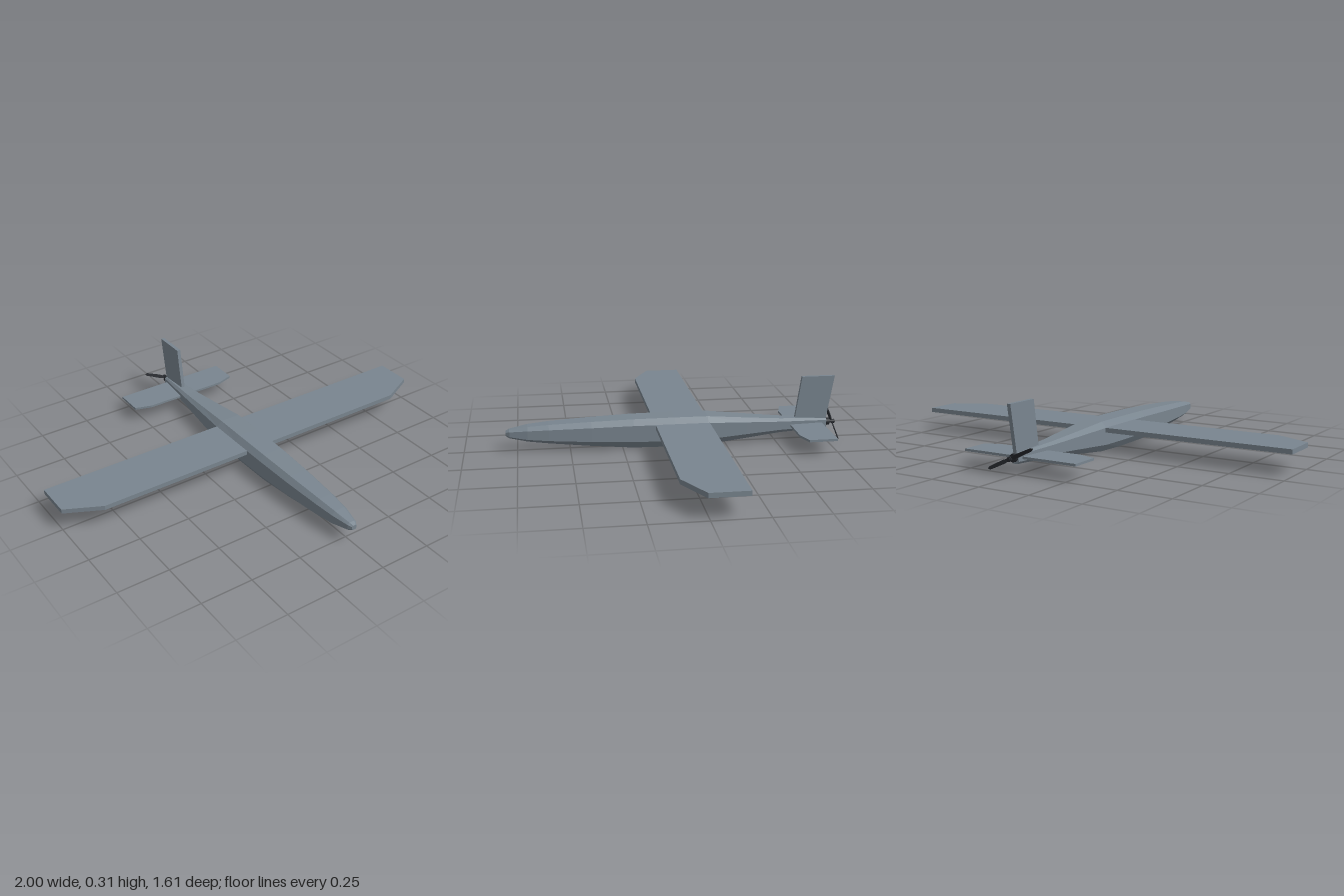
import * as THREE from 'three';

const mat = (name, color) => {
  const m = new THREE.MeshStandardMaterial({ color });
  m.name = name;
  return m;
};

// Faceted hull lofted through octagonal sections, listed from nose to tail
function loft(sections) {
  const rings = sections.map(([z, w, wf, top, up, low, bottom]) => [
    [w, low, z], [w, up, z], [wf, top, z], [-wf, top, z],
    [-w, up, z], [-w, low, z], [-wf, bottom, z], [wf, bottom, z],
  ]);
  const pos = [];
  const tri = (...pts) => pts.forEach((p) => pos.push(...p));
  for (let i = 0; i < rings.length - 1; i++) {
    for (let j = 0; j < 8; j++) {
      const k = (j + 1) % 8;
      const [a, b, c, d] = [rings[i][j], rings[i][k], rings[i + 1][j], rings[i + 1][k]];
      tri(a, c, b);
      tri(b, c, d);
    }
  }
  const first = rings[0], last = rings[rings.length - 1];
  for (let j = 1; j < 7; j++) {
    tri(first[0], first[j], first[j + 1]);
    tri(last[0], last[j + 1], last[j]);
  }
  const g = new THREE.BufferGeometry();
  g.setAttribute('position', new THREE.Float32BufferAttribute(pos, 3));
  g.computeVertexNormals();
  return g;
}

// Flat plate from an outline, centred through its thickness
function plate(points, thickness) {
  const shape = new THREE.Shape(points.map(([x, y]) => new THREE.Vector2(x, y)));
  return new THREE.ExtrudeGeometry(shape, { depth: thickness, bevelEnabled: false })
    .translate(0, 0, -thickness / 2);
}

// Horizontal surface: half outline in (x, z), mirrored across x = 0
function surface(half, thickness) {
  const mirrored = half.map(([x, z]) => [-x, z]).reverse();
  return plate([...half, ...mirrored].map(([x, z]) => [x, -z]), thickness).rotateX(-Math.PI / 2);
}

export function createModel() {
  const grey = mat('airframe grey', 0x79858f);
  const dark = mat('propeller black', 0x25282d);
  const yellow = mat('marking yellow', 0xd8a520);
  const blue = mat('marking blue', 0x1f4e96);

  const model = new THREE.Group();
  model.name = 'aircraft';
  const add = (name, geometry, material, parent = model) => {
    const m = new THREE.Mesh(geometry, material);
    m.name = name;
    parent.add(m);
    return m;
  };

  // Fuselage: z, half width, half width of flats, top, upper edge, lower edge, bottom
  add('fuselage', loft([
    [0.803, 0.012, 0.007, 0.099, 0.093, 0.081, 0.076],
    [0.785, 0.023, 0.013, 0.107, 0.098, 0.074, 0.066],
    [0.70, 0.042, 0.026, 0.122, 0.105, 0.063, 0.050],
    [0.60, 0.053, 0.034, 0.130, 0.109, 0.056, 0.039],
    [0.40, 0.066, 0.044, 0.139, 0.114, 0.046, 0.020],
    [0.20, 0.073, 0.050, 0.145, 0.118, 0.038, 0.004],
    [0.00, 0.075, 0.051, 0.146, 0.118, 0.036, 0.001],
    [-0.16, 0.075, 0.050, 0.145, 0.118, 0.037, 0.004],
    [-0.35, 0.058, 0.038, 0.127, 0.108, 0.048, 0.023],
    [-0.52, 0.042, 0.027, 0.112, 0.099, 0.057, 0.041],
    [-0.76, 0.020, 0.012, 0.098, 0.091, 0.061, 0.051],
  ]), grey);

  // Wing and tailplane with clipped leading corners
  add('wing', surface([[0.83, 0.095], [1, 0.01], [1, -0.166], [0, -0.166], [0, 0.095]]
    .filter(([x]) => x > 0), 0.022), grey).position.y = 0.108;
  add('tailplane', surface([[0.21, -0.574], [0.292, -0.6], [0.292, -0.736]], 0.011), grey)
    .position.y = 0.075;

  // Swept fin, outlined in (z, y)
  add('fin', plate([[0.6, 0.085], [0.757, 0.085], [0.797, 0.312], [0.634, 0.312]], 0.018)
    .rotateY(Math.PI / 2), grey);

  // Round markings under each wing
  for (const [side, s] of [['left', 1], ['right', -1]]) {
    const marking = new THREE.Group();
    marking.name = `${side}WingMarking`;
    marking.position.set(s * 0.315, 0.096, -0.035);
    add('outerDisc', new THREE.CylinderGeometry(0.062, 0.062, 0.004, 24), yellow, marking);
    add('innerDisc', new THREE.CylinderGeometry(0.035, 0.035, 0.007, 24), blue, marking);
    model.add(marking);
  }

  // Pusher propeller
  const propeller = new THREE.Group();
  propeller.name = 'propeller';
  propeller.position.set(0, 0.078, -0.793);
  propeller.rotation.z = -0.44;
  const hub = (r, length, z) =>
    new THREE.CylinderGeometry(r, r, length, 12).rotateX(Math.PI / 2).translate(0, 0, z);
  add('motorMount', hub(0.018, 0.016, 0.024), dark, propeller);
  add('shaft', hub(0.008, 0.035, 0.003), dark, propeller);
  add('spinner', hub(0.011, 0.012, -0.004), dark, propeller);
  const blade = [[0, -0.005], [0.04, -0.009], [0.12, -0.007], [0.131, 0], [0.12, 0.007], [0.04, 0.009], [0, 0.005]];
  for (const turn of [0, Math.PI]) {
    add('blade', plate(blade, 0.004).rotateX(0.3).rotateZ(turn), dark, propeller);
  }
  model.add(propeller);

  return model;
}
